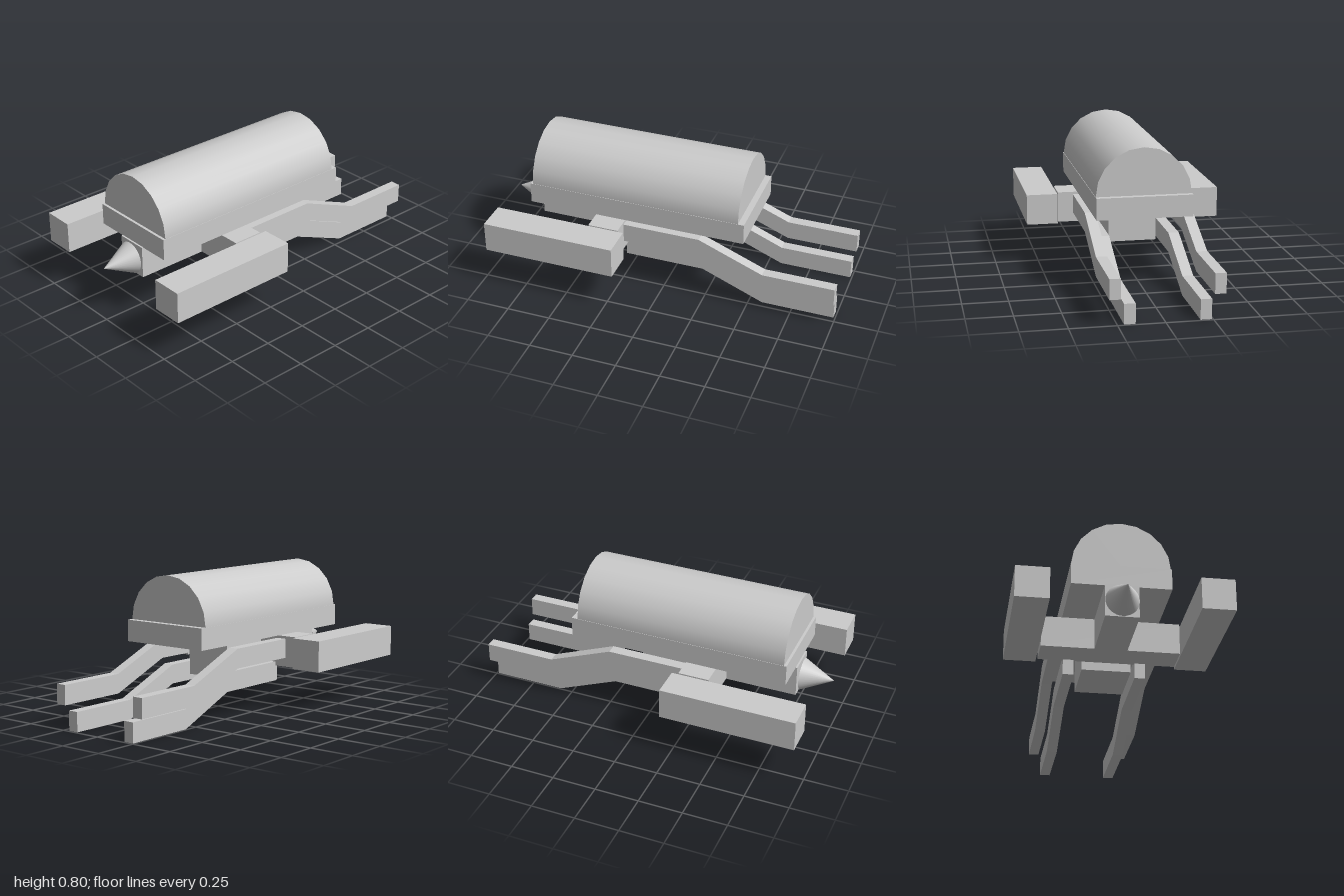
import * as THREE from 'three';

const grey = new THREE.MeshStandardMaterial({ color: 0xcccccc });

export function createModel() {
  const model = new THREE.Group();

  const add = (name, geometry) => {
    const mesh = new THREE.Mesh(geometry, grey);
    mesh.name = name;
    model.add(mesh);
    return mesh;
  };

  // Box given by its extents along each axis
  const box = (name, [x0, x1], [y0, y1], [z0, z1]) => {
    add(name, new THREE.BoxGeometry(x1 - x0, y1 - y0, z1 - z0))
      .position.set((x0 + x1) / 2, (y0 + y1) / 2, (z0 + z1) / 2);
  };

  // Bent rail of constant height: path holds [z, bottom y], extruded across x
  const rail = (name, [x0, x1], height, path) => {
    const lower = path.map(([z, y]) => new THREE.Vector2(-z, y));
    const upper = path.map(([z, y]) => new THREE.Vector2(-z, y + height)).reverse();
    const geometry = new THREE.ExtrudeGeometry(new THREE.Shape([...lower, ...upper]), {
      depth: x1 - x0, bevelEnabled: false,
    });
    geometry.rotateY(Math.PI / 2); // shape x -> -z, depth -> +x
    geometry.translate(x0, 0, 0);
    add(name, geometry);
  };

  // Rounded canopy: half cylinder with flat ends and floor
  const radius = 0.265, zBack = -0.435, zFront = 0.785;
  const canopy = new THREE.CylinderGeometry(radius, radius, zFront - zBack, 10, 1, false, Math.PI / 2, Math.PI);
  canopy.rotateX(Math.PI / 2);
  add('canopy', canopy).position.set(0, 0.535, (zFront + zBack) / 2);

  // Body under the canopy
  box('body', [-0.267, 0.267], [0.415, 0.536], [-0.47, 0.8]);

  // Undercarriage
  box('crossbeam', [-0.381, 0.381], [0.238, 0.415], [0.225, 0.4]);
  box('centreBlock', [-0.137, 0.137], [0.19, 0.415], [-0.09, 0.225]);
  box('noseBeam', [-0.09, 0.09], [0.235, 0.417], [0.4, 0.81]);

  // Pointed nose
  const nose = new THREE.ConeGeometry(0.09, 0.18, 32);
  nose.rotateX(Math.PI / 2);
  add('noseCone', nose).position.set(0, 0.324, 0.91);

  // Side pods
  box('leftPod', [0.388, 0.567], [0.238, 0.414], [0.19, 0.955]);
  box('rightPod', [-0.569, -0.39], [0.238, 0.414], [0.19, 0.955]);

  // Trailing rails, upper pair outside and lower pair inside
  const upperPath = [[0.225, 0.29], [-0.22, 0.29], [-0.59, 0.14], [-1, 0.14]];
  const lowerPath = [[0.24, 0.15], [-0.22, 0.15], [-0.575, 0.003], [-0.99, 0.003]];
  rail('leftUpperRail', [0.232, 0.292], 0.11, upperPath);
  rail('rightUpperRail', [-0.315, -0.255], 0.11, upperPath);
  rail('leftLowerRail', [0.155, 0.215], 0.11, lowerPath);
  rail('rightLowerRail', [-0.243, -0.183], 0.11, lowerPath);

  // Floor closing the canopy underside
  const floor = new THREE.PlaneGeometry(radius * 2, zFront - zBack);
  floor.rotateX(Math.PI / 2);
  add('canopyFloor', floor).position.set(0, 0.535, (zFront + zBack) / 2);

  return model;
}
